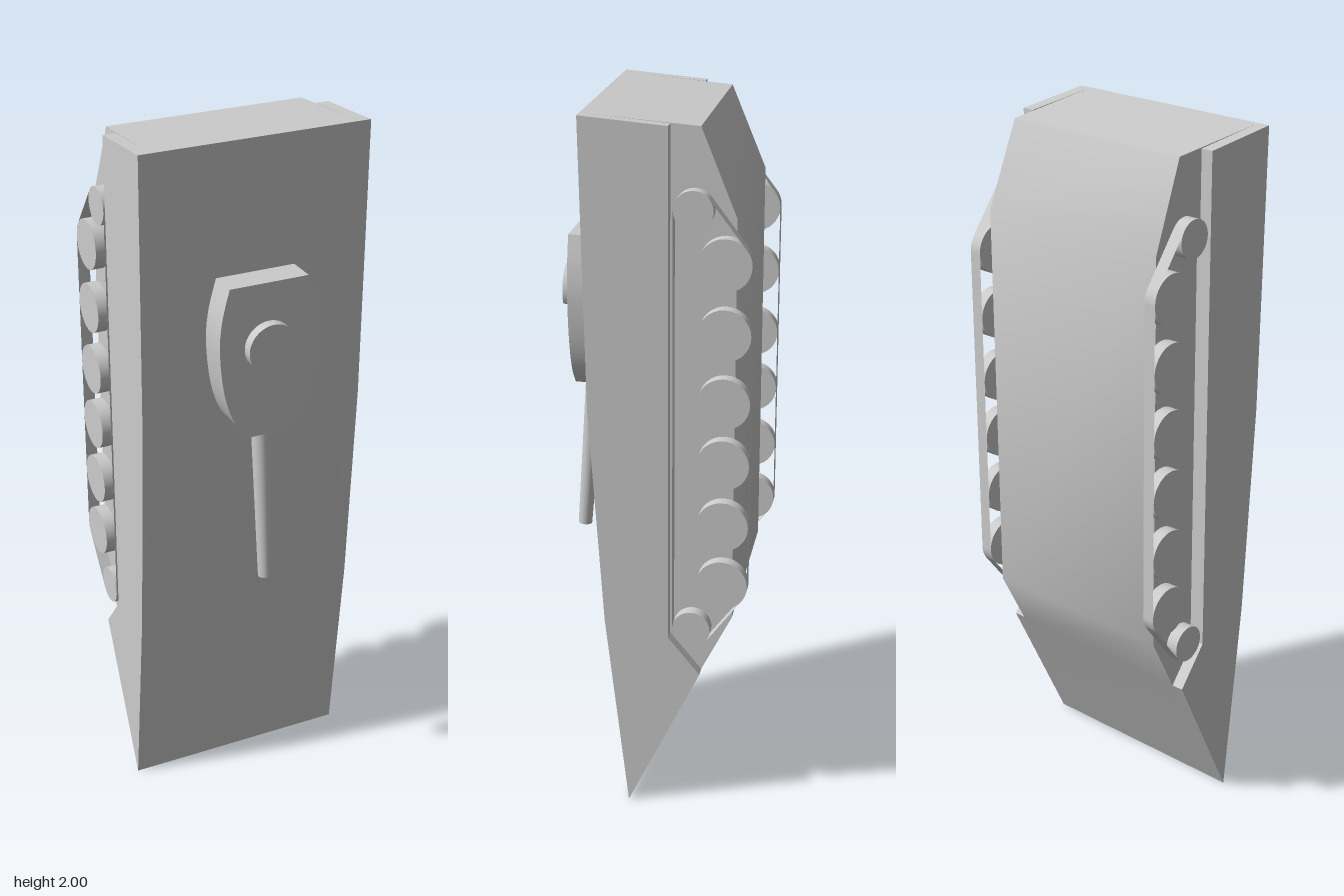
import * as THREE from 'three';
import { toCreasedNormals } from 'three/addons/utils/BufferGeometryUtils.js';

const INNER = 0.295, OUTER = 0.33, WIDTH = OUTER - INNER;

export function createModel() {
  const model = new THREE.Group();
  const material = new THREE.MeshStandardMaterial({ color: 0xcccccc });
  const sheetMaterial = new THREE.MeshStandardMaterial({ color: 0xcccccc, side: THREE.DoubleSide });

  const add = (name, geometry, parent = model, mat = material) => {
    const mesh = new THREE.Mesh(geometry, mat);
    mesh.name = name;
    parent.add(mesh);
    return mesh;
  };
  const extrude = (shape, depth) =>
    new THREE.ExtrudeGeometry(shape, { depth, bevelEnabled: false, curveSegments: 24 });
  // Side profile given as [z, y], extruded along x from x0
  const sideExtrude = (points, x0, width) => {
    const shape = new THREE.Shape(points.map(([z, y]) => new THREE.Vector2(-z, y)));
    return extrude(shape, width).rotateY(Math.PI / 2).translate(x0, 0, 0);
  };

  // Hull core, narrowed slightly at its upper rear edge
  const front = [[0.055, 0], [0.12, 0.58], [0.16, 1.2], [0.175, 2]];
  const core = sideExtrude(
    [[-0.15, 0.43], ...front, [-0.138, 1.975], [-0.235, 1.74], [-0.235, 0.6]], -INNER, 2 * INNER);
  const pos = core.attributes.position;
  for (let i = 0; i < pos.count; i++) {
    if (pos.getY(i) > 1.9 && pos.getZ(i) < -0.1) pos.setX(i, Math.sign(pos.getX(i)) * 0.288);
  }
  add('hull', toCreasedNormals(core, 0.6));

  // Wheels as [z, y, radius], small ones at both ends
  const big = [1.625, 1.435, 1.245, 1.07, 0.89, 0.713].map((y) => [-0.209, y, 0.071]);
  const wheels = [[-0.125, 1.765, 0.053], ...big, [-0.125, 0.57, 0.053]];

  // Track outline running around the wheels
  const loop = new THREE.Path();
  const tilt = 0.635;
  const arcs = [
    [wheels[1], 0, tilt], [wheels[0], tilt, Math.PI],
    [wheels[7], Math.PI, 2 * Math.PI - tilt], [wheels[6], 2 * Math.PI - tilt, 2 * Math.PI],
  ];
  for (const [[z, y, r], a, b] of arcs) loop.absarc(-z, y, r, a, b, false);
  const outline = loop.getPoints(8);
  outline.push(outline[0].clone());

  for (const side of [1, -1]) {
    const group = new THREE.Group();
    group.name = side > 0 ? 'leftRunningGear' : 'rightRunningGear';
    model.add(group);

    // Outer hull flank with the wheel recess cut away
    const flank = sideExtrude([[-0.15, 0.43], ...front, [-0.06, 1.981], [-0.06, 0.54]],
      side > 0 ? INNER : -OUTER, WIDTH);
    add('hullFlank', toCreasedNormals(flank, 0.6), group);

    for (const [z, y, r] of wheels) {
      const wheel = add('wheel', new THREE.CylinderGeometry(r, r, WIDTH, 32).rotateZ(Math.PI / 2), group);
      wheel.position.set(side * (INNER + OUTER) / 2, y, z);
    }

    // Thin track band
    const n = outline.length;
    const band = new THREE.PlaneGeometry(1, 1, n - 1, 1);
    for (let i = 0; i < n; i++) {
      band.attributes.position.setXYZ(i, side * INNER, outline[i].y, -outline[i].x);
      band.attributes.position.setXYZ(n + i, side * OUTER, outline[i].y, -outline[i].x);
    }
    // Keep the band's front outward on both sides
    if (side > 0) band.setIndex(Array.from(band.index.array).reverse());
    band.computeVertexNormals();
    add('track', band, group, sheetMaterial);
  }

  // Turret: flat top, bulging sides, narrow end
  const turret = new THREE.Shape();
  turret.moveTo(-0.055, 1.185);
  turret.lineTo(0.055, 1.185);
  turret.splineThru([[0.1, 1.24], [0.13, 1.33], [0.143, 1.45], [0.137, 1.54], [0.115, 1.63]]
    .map(([x, y]) => new THREE.Vector2(x, y)));
  turret.lineTo(-0.115, 1.63);
  turret.splineThru([[-0.137, 1.54], [-0.143, 1.45], [-0.13, 1.33], [-0.1, 1.24], [-0.055, 1.185]]
    .map(([x, y]) => new THREE.Vector2(x, y)));
  add('turret', toCreasedNormals(extrude(turret, 0.11).translate(0, 0, 0.142), 0.6));

  // Hatch: disc with a flat lower edge
  const hatch = new THREE.Shape();
  hatch.absarc(0, 1.45, 0.071, -0.5, Math.PI + 0.5, false);
  add('hatch', toCreasedNormals(extrude(hatch, 0.04).translate(0, 0, 0.242), 0.6));

  // Tapered gun barrel, leaning away from the hull
  const start = new THREE.Vector3(0, 1.21, 0.205), end = new THREE.Vector3(0, 0.726, 0.244);
  const axis = start.clone().sub(end);
  const barrel = add('gunBarrel', new THREE.CylinderGeometry(0.027, 0.02, axis.length(), 24));
  barrel.position.copy(start).add(end).multiplyScalar(0.5);
  barrel.quaternion.setFromUnitVectors(new THREE.Vector3(0, 1, 0), axis.normalize());

  return model;
}
